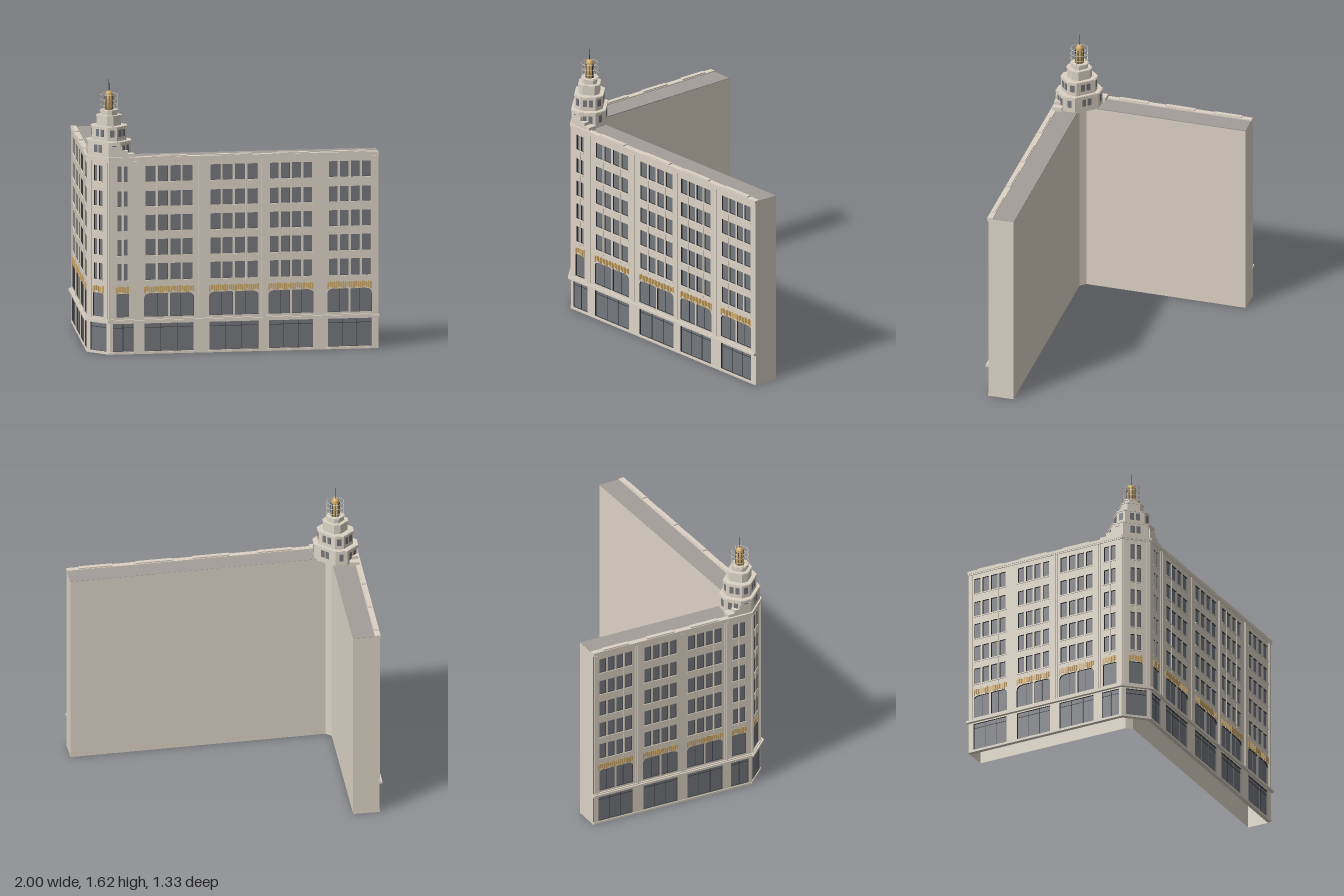
import * as THREE from 'three';

const mat = (name, color, extra = {}) => {
  const m = new THREE.MeshStandardMaterial({ color, ...extra });
  m.name = name;
  return m;
};

export function createModel() {
  const open = { side: THREE.DoubleSide };
  const stone = mat('stone', 0xdcd3c5, open);
  const glass = mat('glass', 0x74777c);
  const frame = mat('darkFrame', 0x3e3f42);
  const gold = mat('gold', 0xd0aa68);
  const roofGrey = mat('roofGrey', 0xa39e99, open);

  const model = new THREE.Group();
  model.name = 'cornerBuilding';

  const add = (parent, name, geo, material, x = 0, y = 0, z = 0) => {
    const m = new THREE.Mesh(geo, material);
    m.name = name;
    m.position.set(x, y, z);
    parent.add(m);
    return m;
  };
  // box given by its limits
  const block = (p, name, material, x0, x1, y0, y1, z0, z1) =>
    add(p, name, new THREE.BoxGeometry(x1 - x0, y1 - y0, z1 - z0), material, (x0 + x1) / 2, (y0 + y1) / 2, (z0 + z1) / 2);
  // vertical prism over a plan outline of [x, z] points
  const prism = (p, name, material, pts, y0, y1) => {
    const shape = new THREE.Shape(pts.map(([x, z]) => new THREE.Vector2(x, -z)));
    const geo = new THREE.ExtrudeGeometry(shape, { depth: y1 - y0, bevelEnabled: false });
    return add(p, name, geo.rotateX(-Math.PI / 2), material, 0, y0, 0);
  };

  // plan: street corners, then the plain back and end walls, open underneath
  const endL = [-0.985, -0.1], A = [-0.25, 0.64], B = [-0.075, 0.64], endR = [0.985, -0.56];
  const back = [[0.986, -0.562], [0.875, -0.668], [-0.137, 0.482], [-0.183, 0.482], [-0.881, -0.216], [-0.987, -0.102]];
  for (let i = 0; i < back.length - 1; i++) {
    const [p, q] = [back[i], back[i + 1]], dx = q[0] - p[0], dz = q[1] - p[1];
    const wall = add(model, 'backWall', new THREE.PlaneGeometry(Math.hypot(dx, dz), 1.17), stone,
      (p[0] + q[0]) / 2, 0.585, (p[1] + q[1]) / 2);
    wall.rotation.y = Math.atan2(-dz, dx);
  }
  prism(model, 'roof', roofGrey, [endL, A, B, endR, ...back.slice(1, -1)], 1.166, 1.171);

  const rows = [[1.03, 1.123], [0.883, 0.973], [0.736, 0.83], [0.59, 0.685], [0.442, 0.54]];

  const rectHole = (x0, x1, y0, y1) => {
    const h = new THREE.Path();
    h.moveTo(x0, y0).lineTo(x0, y1).lineTo(x1, y1).lineTo(x1, y0).closePath();
    return h;
  };
  // tall window with rounded upper corners of radii rl and rr
  const archHole = (x0, x1, y0, y1, rl, rr) => {
    const h = new THREE.Path();
    h.moveTo(x0, y0).lineTo(x0, y1 - rl).quadraticCurveTo(x0, y1, x0 + rl * 1.4, y1);
    h.lineTo(x1 - rr * 1.4, y1).quadraticCurveTo(x1, y1, x1, y1 - rr).lineTo(x1, y0).closePath();
    return h;
  };

  // one street front; bays are { a, b, n, g } along its length
  function facade(name, p, q, bays, pilasters, crest) {
    const dx = q[0] - p[0], dz = q[1] - p[1], L = Math.hypot(dx, dz);
    const f = new THREE.Group();
    f.name = name;
    f.position.set(p[0], 0, p[1]);
    f.rotation.y = Math.atan2(-dz, dx);
    model.add(f);

    const wall = new THREE.Shape();
    wall.moveTo(0, 0.004).lineTo(L, 0.004).lineTo(L, 1.16).lineTo(0, 1.16).closePath();
    for (const { a, b, n, g } of bays) {
      const w = b - a, gap = 0.014, pane = (w - gap * (n - 1)) / n;
      for (const [y0, y1] of rows) {
        for (let i = 0; i < n; i++) {
          const x = a + i * (pane + gap);
          wall.holes.push(rectHole(x, x + pane, y0, y1));
        }
        block(f, 'sill', stone, a - 0.004, b + 0.004, y0 - 0.009, y0 - 0.002, 0, 0.004);
      }
      // slender ribs either side of the middle windows
      for (let i = 1; i < n; i += 2) {
        const x = a + i * (pane + gap) - gap / 2;
        block(f, 'rib', stone, x - 0.003, x + 0.003, 0.42, 1.125, -0.002, 0.002);
      }
      // arched second floor
      const e = 0.008, m = (a + b) / 2;
      if (n === 4) {
        wall.holes.push(archHole(a - e, m - 0.006, 0.222, 0.362, 0.03, 0.008));
        wall.holes.push(archHole(m + 0.006, b + e, 0.222, 0.362, 0.008, 0.03));
      } else wall.holes.push(archHole(a - e, b + e, 0.222, 0.362, 0.012, 0.012));
      for (const t of n === 4 ? [0.25, 0.75] : []) {
        const x = a + w * t;
        block(f, 'archMullion', frame, x - 0.0012, x + 0.0012, 0.222, 0.36, -0.012, -0.007);
      }
      // gilded frieze of hanging leaves in uneven lengths
      const k = Math.round(w / 0.012), s = (w + 0.02) / k;
      for (let i = 0; i < k; i++) {
        const x = a - 0.01 + i * s, low = 0.36 + 0.005 * ((i * 7) % 4), top = 0.4 + 0.003 * ((i * 5) % 3);
        block(f, 'friezeLeaf', gold, x + 0.001, x + s - 0.002, low, top, -0.002, 0.003);
      }
      // shop window
      const [g0, g1] = g;
      wall.holes.push(rectHole(g0, g1, 0.016, 0.182));
      if (name !== 'cornerFront') {
        const panes = n === 4 ? 3 : 2;
        for (let i = 1; i < panes; i++) {
          const x = g0 + ((g1 - g0) * i) / panes;
          block(f, 'shopMullion', frame, x - 0.0013, x + 0.0013, 0.016, 0.182, -0.012, -0.007);
        }
      }
      block(f, 'shopTransom', frame, g0, g1, 0.155, 0.158, -0.012, -0.007);
    }
    // stone faces with dark window reveals
    const wallGeo = new THREE.ExtrudeGeometry(wall, { depth: 0.02, bevelEnabled: false });
    add(f, 'wall', wallGeo, [stone, frame], 0, 0, -0.02);
    block(f, 'glazing', glass, 0.009, L - 0.009, 0.012, 1.14, -0.016, -0.01);

    for (const x of pilasters) {
      block(f, 'pilaster', stone, x - 0.017, x + 0.017, 0.21, 1.15, -0.002, 0.003);
      block(f, 'pilasterBead', stone, x - 0.006, x + 0.006, 0.21, 1.15, 0, 0.006);
    }
    block(f, 'plinth', stone, 0, L, 0, 0.012, -0.021, 0.004);
    block(f, 'ledge', stone, -0.007, L + 0.004, 0.19, 0.204, -0.008, 0.018);
    block(f, 'ledgeLip', stone, 0, L, 0.204, 0.21, -0.008, 0.009);
    block(f, 'cornice', stone, -0.002, L + 0.002, 1.152, 1.162, -0.01, 0.005);
    block(f, 'parapet', stone, -0.002, L + 0.002, 1.16, 1.177, -0.026, 0.008);
    for (const [a, b] of crest) block(f, 'parapetCrest', stone, a, b, 1.177, 1.184, -0.022, 0.004);
    return { f, L };
  }

  const bay = (a, b, n, g) => ({ a, b, n, g: g || [a - 0.006, b + 0.006] });
  // right-hand wing
  const rightBays = [bay(0.047, 0.107, 2, [0.02, 0.14]), bay(0.213, 0.494, 4), bay(0.6, 0.88, 4),
    bay(0.954, 1.207, 4), bay(1.307, 1.554, 4)];
  const right = facade('rightFront', B, endR, rightBays, [0.153, 0.547, 0.92, 1.258, 1.58],
    [[0.25, 0.46], [0.63, 0.85], [0.97, 1.19], [1.33, 1.53]]);
  // left-hand wing, laid out from the corner and flipped
  const LL = Math.hypot(A[0] - endL[0], A[1] - endL[1]);
  const flip = ([a, b]) => [LL - b, LL - a];
  const leftBays = [bay(0.042, 0.12, 2, [0.02, 0.135]), bay(0.198, 0.417, 4), bay(0.495, 0.707, 4), bay(0.79, 1.004, 4)]
    .map((o) => { const [a, b] = flip([o.a, o.b]); return { a, b, n: o.n, g: flip(o.g) }; });
  const left = facade('leftFront', endL, A, leftBays, [0.163, 0.452, 0.75, 1.022].map((u) => LL - u),
    [[0.22, 0.4], [0.51, 0.69], [0.81, 0.98]].map(flip));
  // narrow splayed corner
  facade('cornerFront', A, B, [bay(0.053, 0.118, 2, [0.025, 0.15])], [0.017, 0.158], []);

  // stepped shoulders running from the tower along both wings
  for (const [u, top] of [[0.15, 1.195], [0.11, 1.215], [0.075, 1.24]]) {
    block(right.f, 'shoulder', stone, 0, u, 1.17, top, -0.06, -0.004);
    block(left.f, 'shoulder', stone, LL - u, LL, 1.17, top, -0.06, -0.004);
  }

  // tower of shrinking eight-sided tiers
  const tower = new THREE.Group();
  tower.name = 'tower';
  tower.position.set(-0.165, 0, 0.54);
  model.add(tower);
  const octagon = (hx, hz, c) => [[hx - c, hz], [hx, hz - c], [hx, c - hz], [hx - c, -hz],
    [c - hx, -hz], [-hx, c - hz], [-hx, hz - c], [c - hx, hz]].reverse();
  const tiers = [
    { hx: 0.128, hz: 0.099, c: 0.05, y0: 1.165, y1: 1.268, w: [1.2, 1.245] },
    { hx: 0.098, hz: 0.083, c: 0.038, y0: 1.268, y1: 1.354, w: [1.292, 1.335] },
    { hx: 0.065, hz: 0.062, c: 0.027, y0: 1.354, y1: 1.415 },
    { hx: 0.045, hz: 0.045, c: 0.019, y0: 1.415, y1: 1.445 },
  ];
  for (const t of tiers) {
    prism(tower, 'tier', stone, octagon(t.hx, t.hz, t.c), t.y0, t.y1);
    prism(tower, 'tierCornice', stone, octagon(t.hx + 0.003, t.hz + 0.003, t.c), t.y1 - 0.009, t.y1 - 0.002);
    if (!t.w) continue;
    // one window on each splay, a pair on each main face
    const ring = octagon(t.hx, t.hz, t.c);
    ring.forEach((p, i) => {
      const q = ring[(i + 1) % 8], dx = q[0] - p[0], dz = q[1] - p[1], len = Math.hypot(dx, dz);
      const n = len < t.c * 1.5 ? 1 : 2;
      const w = Math.min(0.025, (len / n) * 0.62), step = Math.min(len / n, 0.036);
      for (let k = 0; k < n; k++) {
        const s = 0.5 + ((k - (n - 1) / 2) * step) / len;
        const win = add(tower, 'towerWindow', new THREE.BoxGeometry(w, t.w[1] - t.w[0], 0.003), glass,
          p[0] + dx * s, (t.w[0] + t.w[1]) / 2, p[1] + dz * s);
        win.rotation.y = Math.atan2(-dz, dx);
      }
    });
  }

  // gilded lantern with ribs, hoops and a mast
  const profile = [[0, 1.44], [0.027, 1.44], [0.026, 1.5], [0.022, 1.54], [0.016, 1.553], [0, 1.558]]
    .map(([r, y]) => new THREE.Vector2(r, y));
  add(tower, 'lantern', new THREE.LatheGeometry(profile, 16), gold);
  for (let i = 0; i < 8; i++) {
    const a = (i / 8) * Math.PI * 2, s = Math.sin(a), c = Math.cos(a);
    const rib = add(tower, 'lanternRib', new THREE.BoxGeometry(0.004, 0.085, 0.004), frame, s * 0.025, 1.488, c * 0.025);
    rib.rotation.y = a;
    if (i % 2) add(tower, 'hoopPost', new THREE.CylinderGeometry(0.0012, 0.0012, 0.1, 6), stone, s * 0.05, 1.49, c * 0.05);
  }
  for (const y of [1.446, 1.472, 1.505, 1.536]) {
    const hoop = add(tower, 'hoop', new THREE.TorusGeometry(0.051, 0.0014, 6, 24), stone, 0, y, 0);
    hoop.rotation.x = Math.PI / 2;
  }
  add(tower, 'mast', new THREE.CylinderGeometry(0.0015, 0.0025, 0.075, 8), frame, 0, 1.587, 0);

  return model;
}
